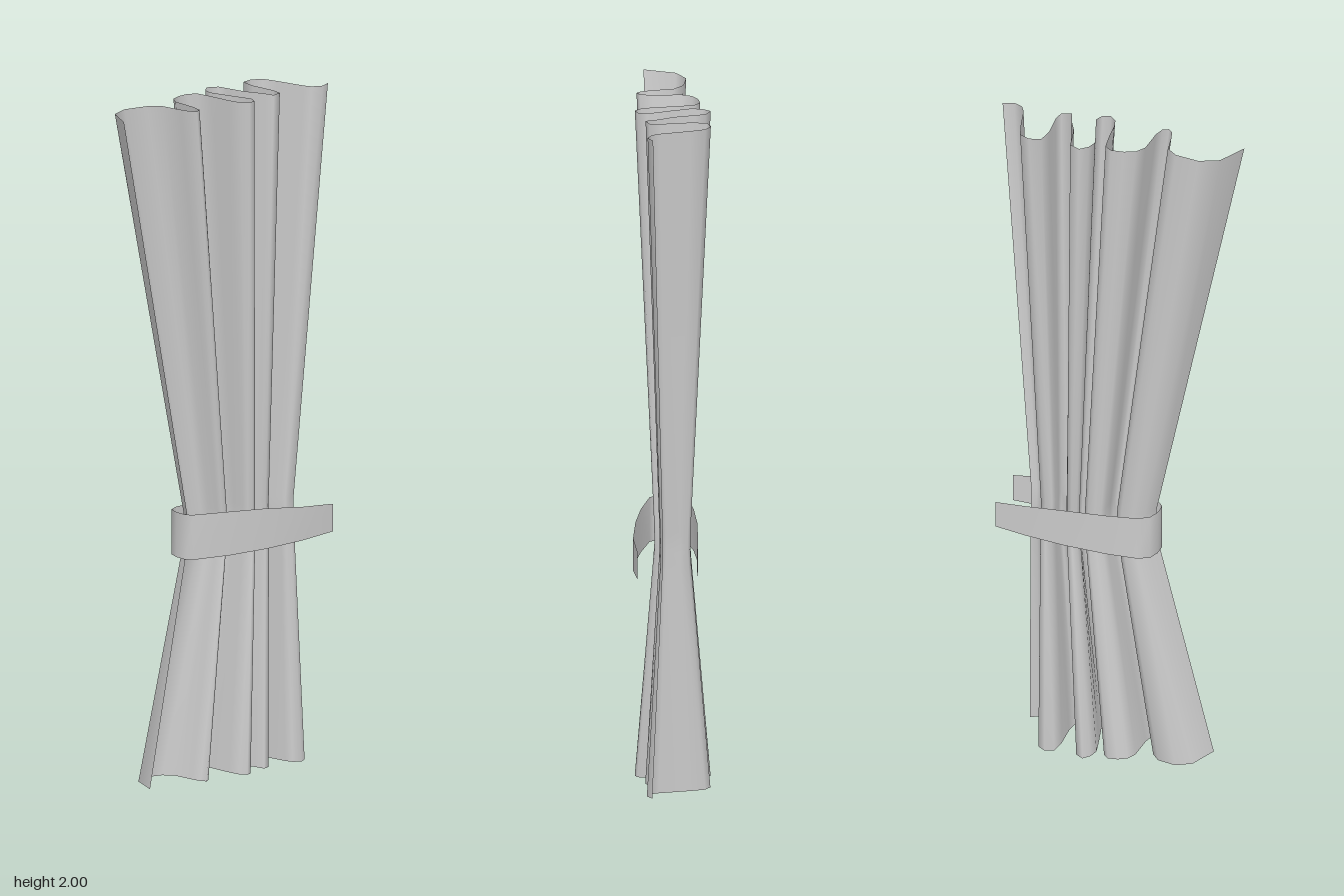
import * as THREE from 'three';

// Skin a grid of points: rows run bottom to top, each row runs left to right.
function loft(name, rows, material) {
  const n = rows[0].length, index = [];
  for (let r = 0; r < rows.length - 1; r++) {
    for (let i = 0; i < n - 1; i++) {
      const a = r * n + i, b = a + 1, c = a + n, d = c + 1;
      index.push(a, b, d, a, d, c);
    }
  }
  const geometry = new THREE.BufferGeometry();
  geometry.setAttribute('position', new THREE.Float32BufferAttribute(rows.flat(2), 3));
  geometry.setIndex(index);
  geometry.computeVertexNormals();
  const mesh = new THREE.Mesh(geometry, material);
  mesh.name = name;
  return mesh;
}

// Pleat line of the top hem, as x, z
const pleats = [
  [-0.375, 0.067], [-0.337, -0.025], [-0.28, -0.053], [-0.205, -0.043], [-0.17, -0.015],
  [-0.155, 0.05], [-0.145, 0.08], [-0.13, 0.094], [-0.113, 0.085], [-0.106, 0.05],
  [-0.108, -0.035], [-0.092, -0.066], [-0.06, -0.082], [-0.022, -0.087], [0.002, -0.07],
  [0.013, -0.02], [0.024, 0.05], [0.034, 0.085], [0.055, 0.104], [0.078, 0.097],
  [0.088, 0.07], [0.06, 0.0], [0.038, -0.06], [0.045, -0.092], [0.067, -0.115],
  [0.1, -0.1], [0.108, -0.07], [0.125, -0.01], [0.155, 0.045], [0.165, 0.076],
  [0.195, 0.066], [0.198, 0.03], [0.186, -0.05], [0.19, -0.1], [0.225, -0.111],
  [0.258, -0.095], [0.275, -0.05], [0.302, 0.04], [0.315, 0.062], [0.345, 0.075], [0.375, 0.06],
];

// Each level squeezes and shifts the pleat line: y, x scale, x shift, z scale
const levels = [
  [0, 0.76, 0.005, 1],
  [0.67, 0.53, 0.077, 0.5],
  [0.72, 0.515, 0.081, 0.47],
  [0.78, 0.52, 0.079, 0.48],
  [2, 1, 0, 1],
];

// Tieback path seen from above: x, z, centre y, half height
const tiePath = [
  [0.345, -0.068, 0.72, 0.04], [0.25, -0.073, 0.72, 0.048], [0.13, -0.075, 0.722, 0.057],
  [0.0, -0.068, 0.722, 0.063], [-0.09, -0.055, 0.722, 0.066], [-0.122, -0.035, 0.722, 0.067],
  [-0.132, 0.0, 0.722, 0.067], [-0.13, 0.04, 0.722, 0.067], [-0.115, 0.057, 0.722, 0.067],
  [0.0, 0.085, 0.722, 0.065], [0.12, 0.104, 0.722, 0.06], [0.24, 0.114, 0.72, 0.05],
  [0.36, 0.104, 0.718, 0.041],
];

export function createModel() {
  const group = new THREE.Group();
  group.name = 'tiedCurtain';
  const fabric = new THREE.MeshStandardMaterial({ color: 0xcccccc, side: THREE.DoubleSide });

  // Pleated cloth, gathered at the waist
  group.add(loft('curtain', levels.map(([y, sx, dx, sz]) =>
    pleats.map(([x, z]) => [x * sx + dx, y, z * sz])), fabric));

  // Open strap wrapped around the gathered side
  group.add(loft('tieback', [-1, 1].map((s) =>
    tiePath.map(([x, z, y, h]) => [x, y + s * h, z])), fabric));

  return group;
}
